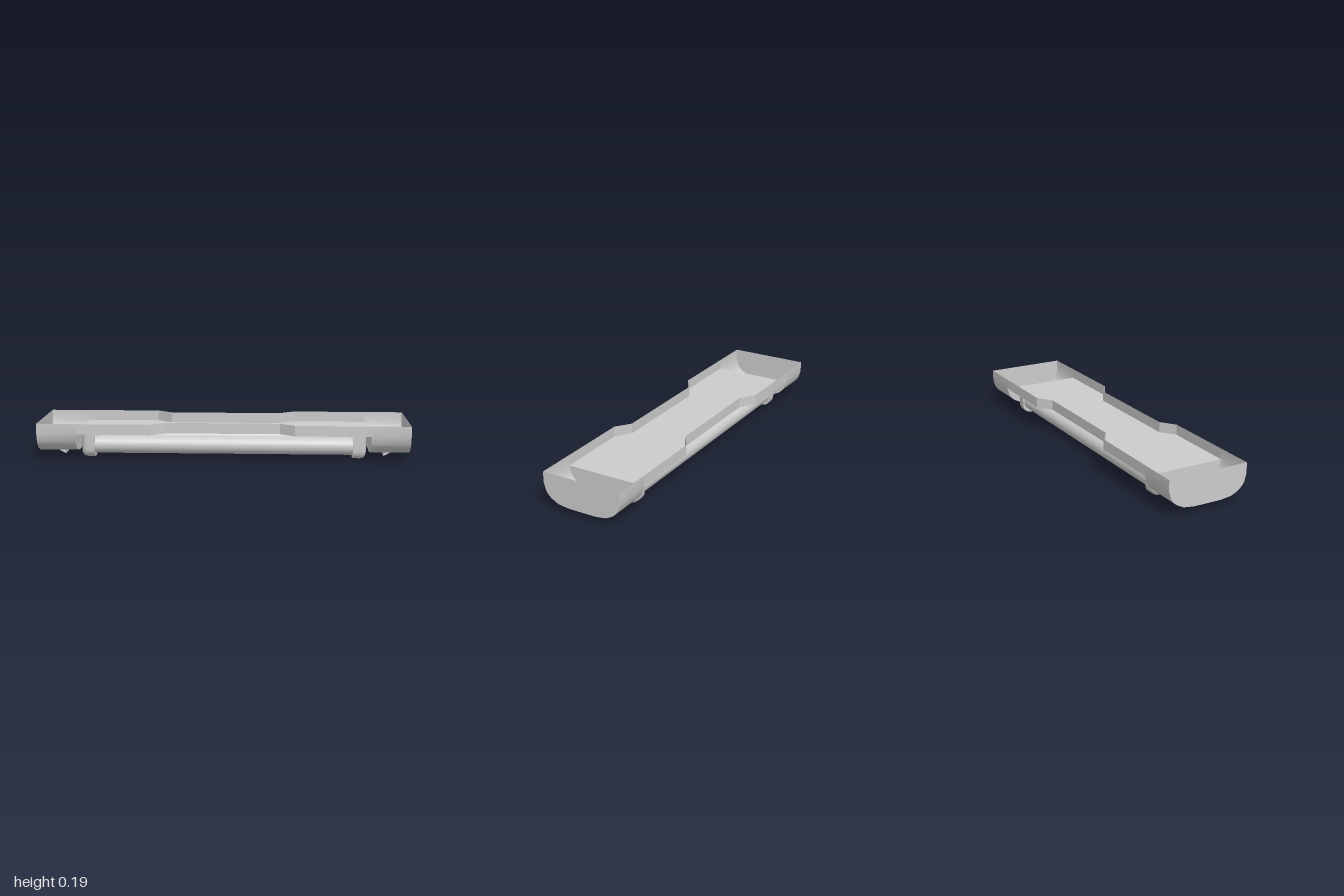
import * as THREE from 'three';
import { toCreasedNormals } from 'three/addons/utils/BufferGeometryUtils.js';

const material = new THREE.MeshStandardMaterial({ color: 0xcccccc, side: THREE.DoubleSide });

const FLOOR = 0.14, TOP = 0.197, HALF = 0.223, WAIST = 0.165, CAP = 0.79;
const SLOT_IN = 0.87, SLOT_OUT = 0.915, SLOT_Z = 0.08, BOTTOM = 0.032;

function add(parent, name, geometry) {
  const mesh = new THREE.Mesh(geometry, material);
  mesh.name = name;
  parent.add(mesh);
  return mesh;
}

// Skin rows of [x, y, z] points; skip(row, column) leaves a cell open.
function skin(rows, crease, skip = () => false) {
  const n = rows[0].length, index = [];
  for (let i = 0; i < rows.length - 1; i++) {
    for (let j = 0; j < n - 1; j++) {
      if (skip(i, j)) continue;
      const a = i * n + j, b = a + n;
      index.push(a, a + 1, b, b, a + 1, b + 1);
    }
  }
  const g = new THREE.BufferGeometry();
  g.setAttribute('position', new THREE.Float32BufferAttribute(rows.flat(2), 3));
  g.setIndex(index);
  return toCreasedNormals(g, crease);
}

// Flat plate across the x axis from [z, y] points.
function endPlate(points, x) {
  const g = new THREE.ShapeGeometry(new THREE.Shape(points.map(([z, y]) => new THREE.Vector2(-z, y))));
  return g.rotateY(Math.PI / 2).translate(x, 0, 0);
}

// Trough cross-section, [z, y], rim to rim
const halfProfile = [[HALF, TOP], [HALF, FLOOR], [0.212, 0.1], [0.2, 0.08], [0.182, 0.063],
  [0.163, 0.052], [0.138, 0.04], [SLOT_Z, BOTTOM]];
const profile = [...halfProfile, ...halfProfile.map(([z, y]) => [-z, y]).reverse()];

// Lamp holder: U-shaped block whose outer lower edge is rounded over.
function holderGeometry() {
  const ring = (x, d) => {
    const w = 0.054 - d, r = 0.046 - d, low = 0.003 + d;
    const pts = [[x, FLOOR, w]];
    for (const side of [1, -1]) {
      for (let k = 0; k <= 6; k++) {
        const a = (side > 0 ? k : 6 - k) * Math.PI / 12;
        pts.push([x, low + r - r * Math.sin(a), side * (w - r + r * Math.cos(a))]);
      }
    }
    pts.push([x, FLOOR, -w]);
    return pts;
  };
  const rows = [ring(0.697, 0)];
  for (let k = 0; k <= 5; k++) {
    const a = k * Math.PI / 10;
    rows.push(ring(0.739 + 0.03 * Math.sin(a), 0.03 * (1 - Math.cos(a))));
  }
  const centre = (row) => row.map(([x]) => [x, 0.08, 0]);
  return skin([centre(rows[0]), ...rows, centre(rows[rows.length - 1])], 0.7);
}

// One end: trough, plates, clip and lamp holders (built on +x)
function buildEnd(name) {
  const end = new THREE.Group();
  end.name = name;
  const rows = [CAP, SLOT_IN, SLOT_OUT, 1].map((x) => profile.map(([z, y]) => [x, y, z]));
  const flat = halfProfile.length - 1;
  add(end, 'trough', skin(rows, 0.6, (i, j) => i === 1 && j === flat));
  add(end, 'endPlate', endPlate(profile, 1));
  add(end, 'bulkhead', endPlate(profile.slice(1, -1), CAP));

  // Clip pressed down out of the trough bottom
  const tip = 0.007, s = SLOT_Z;
  add(end, 'clip', skin([s, -s].map((z) =>
    [[SLOT_IN, BOTTOM, z], [SLOT_IN, tip, z], [SLOT_OUT, BOTTOM, z]]), 0.1));
  for (const z of [s, -s]) {
    add(end, 'clipSide', skin([
      [[SLOT_IN, BOTTOM, z], [SLOT_IN, tip, z]],
      [[SLOT_OUT, BOTTOM, z], [SLOT_OUT, BOTTOM, z]]], 0.1));
  }

  const holder = holderGeometry();
  for (const z of [0.11, -0.11]) add(end, 'lampHolder', holder).position.z = z;
  return end;
}

export function createModel() {
  const model = new THREE.Group();
  model.name = 'lightFixture';

  // Waisted tray floor and its low side walls
  const edge = [[-CAP, HALF], [-0.385, HALF], [-0.305, WAIST], [0.305, WAIST], [0.385, HALF], [CAP, HALF]];
  const outline = [...edge, ...edge.map(([x, z]) => [x, -z]).reverse()];
  const floor = new THREE.ShapeGeometry(new THREE.Shape(outline.map(([x, z]) => new THREE.Vector2(x, -z))));
  add(model, 'trayFloor', floor.rotateX(-Math.PI / 2).translate(0, FLOOR, 0));
  for (const side of [1, -1]) {
    add(model, 'trayWall', skin([FLOOR, TOP].map((y) => edge.map(([x, z]) => [x * side, y, z * side])), 0.1));
  }

  // Lamp tubes
  const tube = new THREE.CylinderGeometry(0.047, 0.047, 1.4, 32).rotateZ(Math.PI / 2);
  for (const z of [0.11, -0.11]) add(model, 'lampTube', tube).position.set(0, 0.067, z);

  // Matching ends
  const right = buildEnd('rightEnd');
  right.rotation.y = Math.PI;
  model.add(buildEnd('leftEnd'), right);
  model.position.y = -0.003;
  const root = new THREE.Group();
  root.add(model);
  return root;
}
